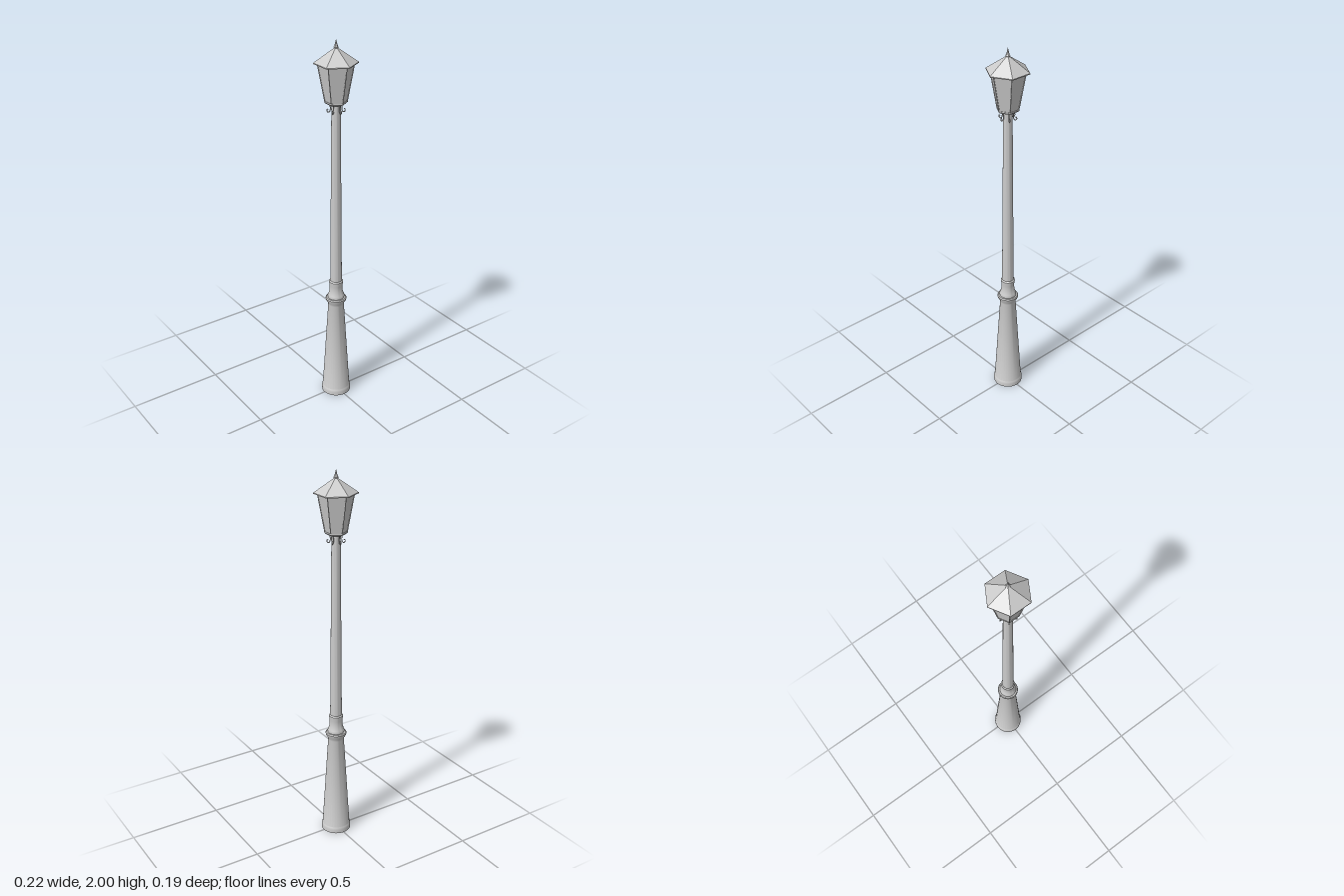
import * as THREE from 'three';
import { toCreasedNormals } from 'three/addons/utils/BufferGeometryUtils.js';

const material = new THREE.MeshStandardMaterial({ color: 0xcccccc });
const flat = new THREE.MeshStandardMaterial({ color: 0xcccccc, flatShading: true });

// Revolved profile of [radius, height] pairs
function lathe(name, profile, sides, mat) {
  const points = profile.map(([r, y]) => new THREE.Vector2(r, y));
  // six-sided parts have corners on the x axis
  let geometry = new THREE.LatheGeometry(points, sides, Math.PI / 2);
  if (mat === material) geometry = toCreasedNormals(geometry, 0.5);
  const mesh = new THREE.Mesh(geometry, mat);
  mesh.name = name;
  return mesh;
}

// Straight bar between two points
function bar(a, b, radius) {
  const mesh = new THREE.Mesh(new THREE.CylinderGeometry(radius, radius, a.distanceTo(b), 6), flat);
  mesh.position.copy(a).add(b).multiplyScalar(0.5);
  mesh.quaternion.setFromUnitVectors(new THREE.Vector3(0, 1, 0), b.clone().sub(a).normalize());
  return mesh;
}

const polar = (r, y, a) => new THREE.Vector3(r * Math.cos(a), y, r * Math.sin(a));

export function createModel() {
  const lamp = new THREE.Group();
  lamp.name = 'streetLamp';

  // Tapered pedestal with foot ring and flared collar
  lamp.add(lathe('pedestal', [
    [0, 0], [0.079, 0], [0.079, 0.02], [0.077, 0.03], [0.074, 0.035],
    [0.042, 0.555], [0.045, 0.568], [0.055, 0.585], [0.056, 0.594], [0.052, 0.6], [0, 0.6],
  ], 32, material));

  // Waisted neck between pedestal and shaft
  lamp.add(lathe('neck', [
    [0.044, 0.598], [0.045, 0.608], [0.042, 0.616], [0.037, 0.63], [0.034, 0.65],
    [0.034, 0.67], [0.037, 0.688], [0.037, 0.696], [0.031, 0.702], [0, 0.702],
  ], 32, material));

  // Slender tapering shaft
  lamp.add(lathe('shaft', [[0.031, 0.69], [0.023, 1.64], [0.023, 1.69]], 32, material));

  // Six-sided lantern housing
  lamp.add(lathe('lanternFloor', [
    [0, 1.684], [0.05, 1.684], [0.057, 1.69], [0.057, 1.697], [0, 1.697],
  ], 6, flat));
  lamp.add(lathe('lanternPanes', [[0.054, 1.695], [0.089, 1.884]], 6, flat));

  // Corner posts and scroll brackets repeat around the six corners
  const frame = new THREE.Group();
  frame.name = 'lanternFrame';
  const scrolls = new THREE.Group();
  scrolls.name = 'scrollBrackets';
  const curl = new THREE.CatmullRomCurve3([
    [0.035, 1.687], [0.03, 1.675], [0.028, 1.66], [0.03, 1.646],
    [0.037, 1.64], [0.044, 1.645], [0.044, 1.654], [0.038, 1.656],
  ].map(([x, y]) => new THREE.Vector3(x, y, 0)));
  const curlGeometry = new THREE.TubeGeometry(curl, 24, 0.0025, 6);
  for (let i = 0; i < 6; i++) {
    const angle = i * Math.PI / 3;
    frame.add(bar(polar(0.054, 1.692, angle), polar(0.089, 1.884, angle), 0.003));
    const scroll = new THREE.Mesh(curlGeometry, material);
    scroll.name = 'scroll';
    scroll.rotation.y = angle;
    scrolls.add(scroll);
  }
  lamp.add(frame, scrolls);

  // Overhanging pyramid roof with thin eave
  lamp.add(lathe('roof', [
    [0, 1.882], [0.109, 1.882], [0.109, 1.887], [0.01, 1.956], [0, 1.956],
  ], 6, flat));

  // Pointed finial
  lamp.add(lathe('finial', [
    [0.008, 1.95], [0.012, 1.96], [0.009, 1.966], [0.006, 1.975], [0, 2],
  ], 6, flat));

  return lamp;
}
